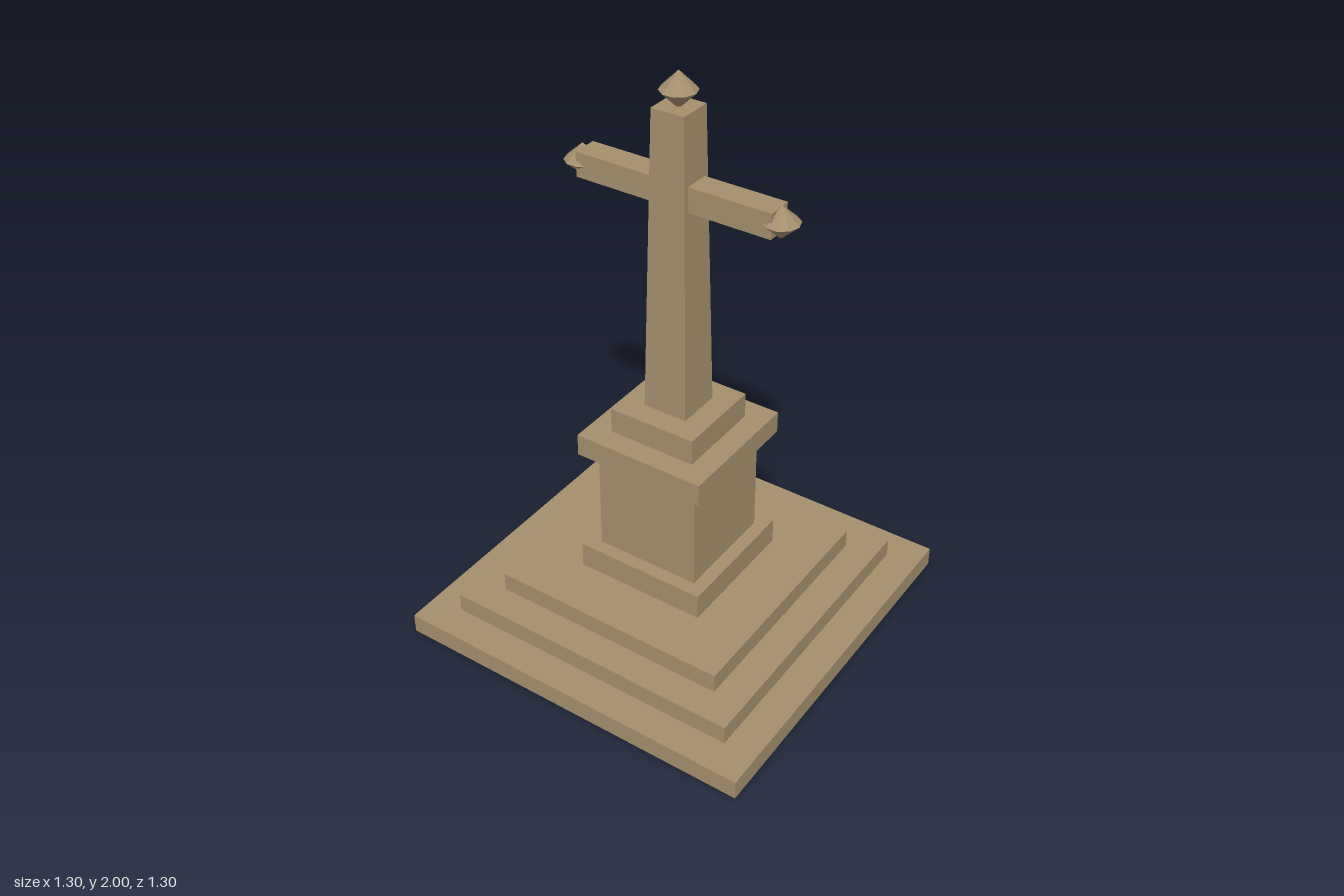
import * as THREE from 'three';

export function createModel() {
  const group = new THREE.Group();
  const stone = new THREE.MeshStandardMaterial({ color: 0xa48f6c });
  stone.name = 'sandstone';
  stone.flatShading = true;

  const add = (name, geometry, x, y, z = 0) => {
    const mesh = new THREE.Mesh(geometry, stone);
    mesh.name = name;
    mesh.position.set(x, y, z);
    group.add(mesh);
    return mesh;
  };

  // Square steps and pedestal: name, half width, bottom, top
  const blocks = [
    ['lowerStep', 0.652, 0, 0.07],
    ['middleStep', 0.538, 0.07, 0.137],
    ['upperStep', 0.427, 0.137, 0.205],
    ['pedestalFoot', 0.236, 0.205, 0.297],
    ['pedestal', 0.188, 0.297, 0.68],
    ['pedestalCap', 0.236, 0.68, 0.758],
    ['shaftPlinth', 0.157, 0.758, 0.848],
  ];
  for (const [name, half, y0, y1] of blocks) {
    add(name, new THREE.BoxGeometry(half * 2, y1 - y0, half * 2), 0, (y0 + y1) / 2);
  }

  // Tapered square shaft
  const shaft = new THREE.CylinderGeometry(0.058 * Math.SQRT2, 0.079 * Math.SQRT2, 1.042, 4);
  shaft.rotateY(Math.PI / 4);
  add('shaft', shaft, 0, 0.848 + 0.521);

  // Crossbar
  add('crossbar', new THREE.BoxGeometry(0.696, 0.085, 0.088), 0, 1.621);

  // Faceted double-cone finials on the top and both arms
  const finial = (name, x, y, height) => {
    const g = new THREE.SphereGeometry(0.06, 10, 2);
    g.scale(1, height / 0.06, 1);
    add(name, g, x, y);
  };
  finial('topFinial', 0, 1.94, 0.06);
  finial('leftFinial', 0.355, 1.62, 0.055);
  finial('rightFinial', -0.355, 1.62, 0.055);

  return group;
}
